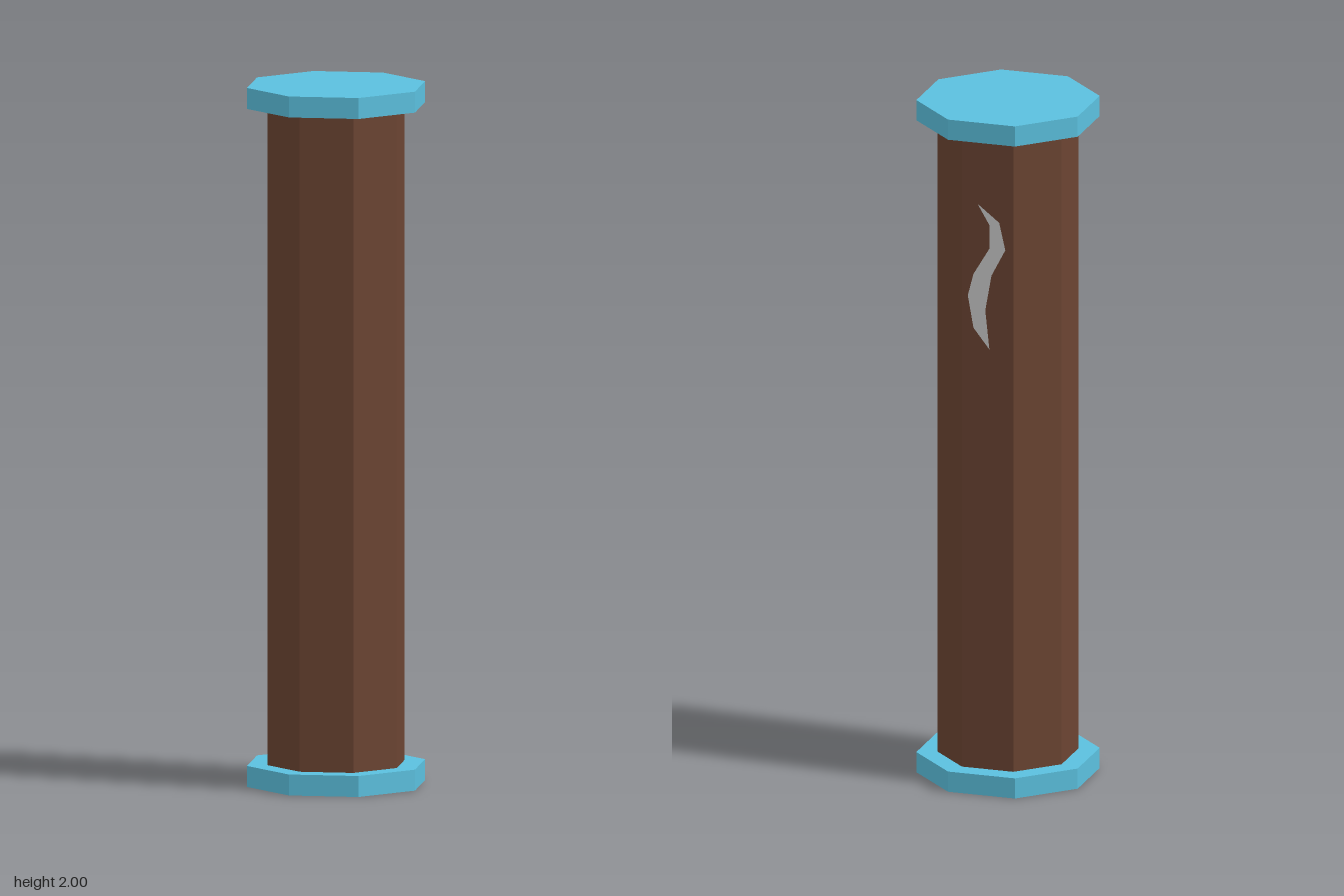
import * as THREE from 'three';

const SIDES = 8;
const RADIUS = 0.2;
const CAP_HEIGHT = 0.06;

export function createModel() {
  const model = new THREE.Group();
  model.name = 'column';

  const brown = new THREE.MeshStandardMaterial({ color: 0x6b4432, flatShading: true });
  const blue = new THREE.MeshStandardMaterial({ color: 0x5bc0de, flatShading: true });
  const grey = new THREE.MeshStandardMaterial({ color: 0xcccccc, side: THREE.DoubleSide });

  const addPrism = (name, radius, height, y, material, open = false) => {
    const geometry = new THREE.CylinderGeometry(radius, radius, height, SIDES, 1, open);
    const mesh = new THREE.Mesh(geometry, material);
    mesh.name = name;
    mesh.position.y = y;
    model.add(mesh);
  };

  // Octagonal shaft between two wider end plates
  addPrism('shaft', RADIUS, 2 - 2 * CAP_HEIGHT, 1, brown, true);
  addPrism('bottomPlate', 0.26, CAP_HEIGHT, CAP_HEIGHT / 2, blue);
  addPrism('topPlate', 0.26, CAP_HEIGHT, 2 - CAP_HEIGHT / 2, blue);

  // Wavy mark on one rear facet: [fraction across the facet, height]
  const outline = [
    [0.31, 1.74], [0.54, 1.68], [0.54, 1.61], [0.23, 1.53], [0.12, 1.465], [0.23, 1.37],
    [0.54, 1.31], [0.46, 1.425], [0.58, 1.53], [0.85, 1.61], [0.73, 1.69],
  ];
  const facetWidth = 2 * RADIUS * Math.sin(Math.PI / SIDES);
  const points = outline.map(([t, y]) => new THREE.Vector2((t - 0.5) * facetWidth, y));
  const mark = new THREE.Mesh(new THREE.ShapeGeometry(new THREE.Shape(points)), grey);
  mark.name = 'wavyMark';
  const angle = Math.PI * 7 / 8;
  const offset = RADIUS * Math.cos(Math.PI / SIDES) + 0.002;
  mark.rotation.y = angle;
  mark.position.set(Math.sin(angle) * offset, 0, Math.cos(angle) * offset);
  model.add(mark);

  return model;
}
